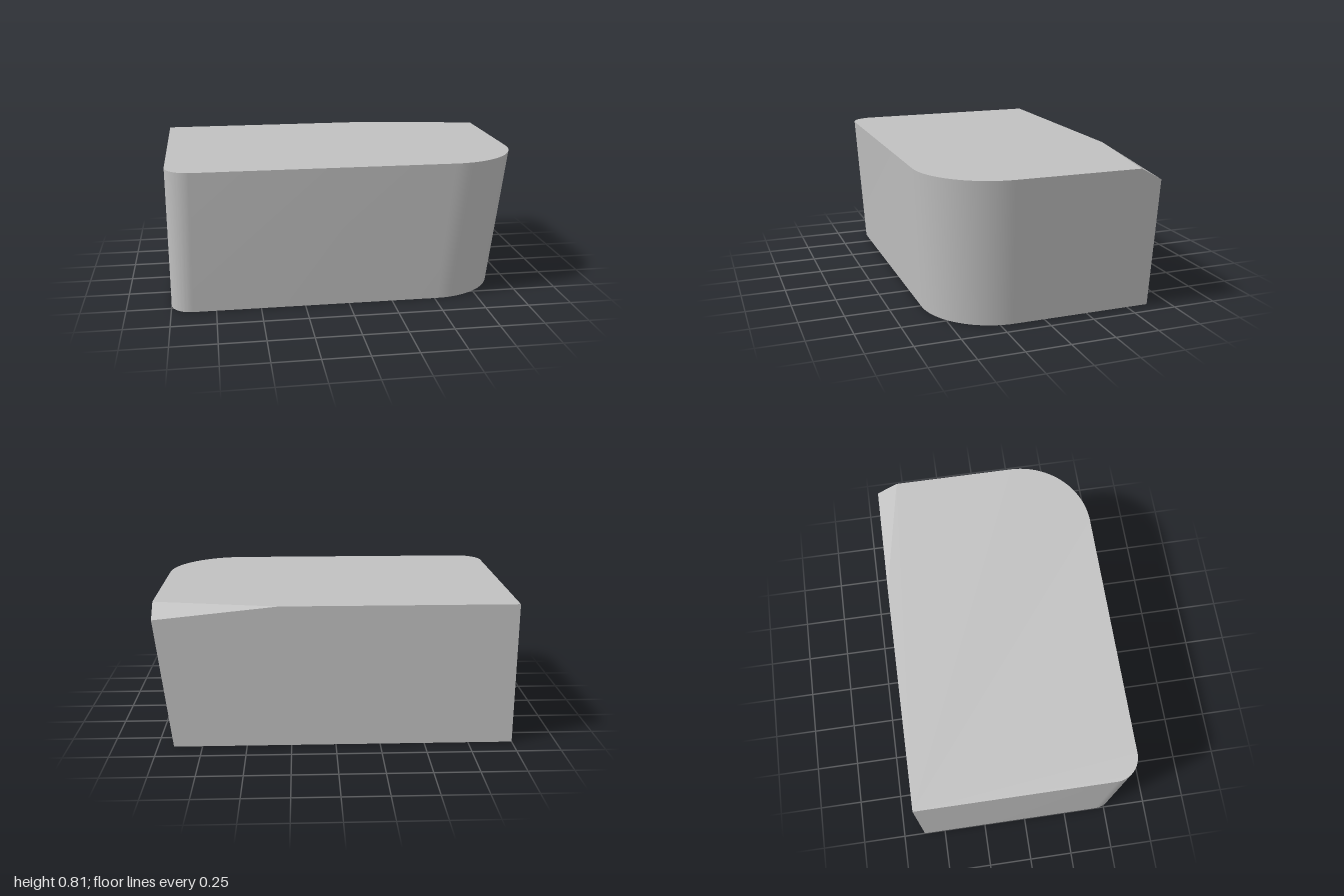
import * as THREE from 'three';
import { toCreasedNormals } from 'three/addons/utils/BufferGeometryUtils.js';

const TOP = 0.81, BACK = -0.625, LEFT = -1, STEPS = 24;

// Left, front and right edge of a level, with its two rounded front corners
function outline(y, right, front, smallR, bigR) {
  const points = [];
  const arc = (cx, cz, r, from) => {
    for (let i = 0; i <= STEPS; i++) {
      const a = from - (i / STEPS) * Math.PI / 2;
      points.push([cx + r * Math.cos(a), y, cz + r * Math.sin(a)]);
    }
  };
  arc(LEFT + smallR, front - smallR, smallR, Math.PI);
  arc(right - bigR, front - bigR, bigR, Math.PI / 2);
  return points;
}

// Convex polygons, counter-clockwise from outside, to a geometry
function fromPolygons(polygons) {
  const positions = [];
  for (const p of polygons)
    for (let i = 1; i < p.length - 1; i++) positions.push(...p[0], ...p[i], ...p[i + 1]);
  const geometry = new THREE.BufferGeometry();
  geometry.setAttribute('position', new THREE.Float32BufferAttribute(positions, 3));
  return toCreasedNormals(geometry, 0.45);
}

export function createModel() {
  const group = new THREE.Group();
  group.name = 'taperedBlock';
  const grey = new THREE.MeshStandardMaterial({ color: 0xc0c0c0 });
  grey.name = 'grey';

  const low = outline(0, 0.91, 0.57, 0.12, 0.4);
  const high = outline(TOP, 1, 0.625, 0.14, 0.42);
  const last = low.length - 1;

  // Back corners, and the three corners of the bevel
  const leftLow = [LEFT, 0, BACK], leftHigh = [LEFT, TOP, BACK];
  const rightLow = [0.91, 0, BACK];
  const bevelLow = [0.992, 0.74, BACK];
  const bevelBack = [0.31, TOP, BACK];
  const bevelSide = [1, TOP, -0.5];

  const add = (name, polygons) => {
    const mesh = new THREE.Mesh(fromPolygons(polygons), grey);
    mesh.name = name;
    group.add(mesh);
  };

  // Walls: left, rounded front, right, back
  const walls = [[leftLow, low[0], high[0], leftHigh]];
  for (let i = 0; i < last; i++) walls.push([low[i], low[i + 1], high[i + 1], high[i]]);
  walls.push([low[last], rightLow, bevelLow, bevelSide, high[last]]);
  walls.push([rightLow, leftLow, leftHigh, bevelBack, bevelLow]);
  add('walls', walls);

  add('topFace', [[leftHigh, ...high, bevelSide, bevelBack]]);
  add('bottomFace', [[leftLow, rightLow, ...low.slice().reverse()]]);
  add('cornerBevel', [[bevelLow, bevelBack, bevelSide]]);
  return group;
}
